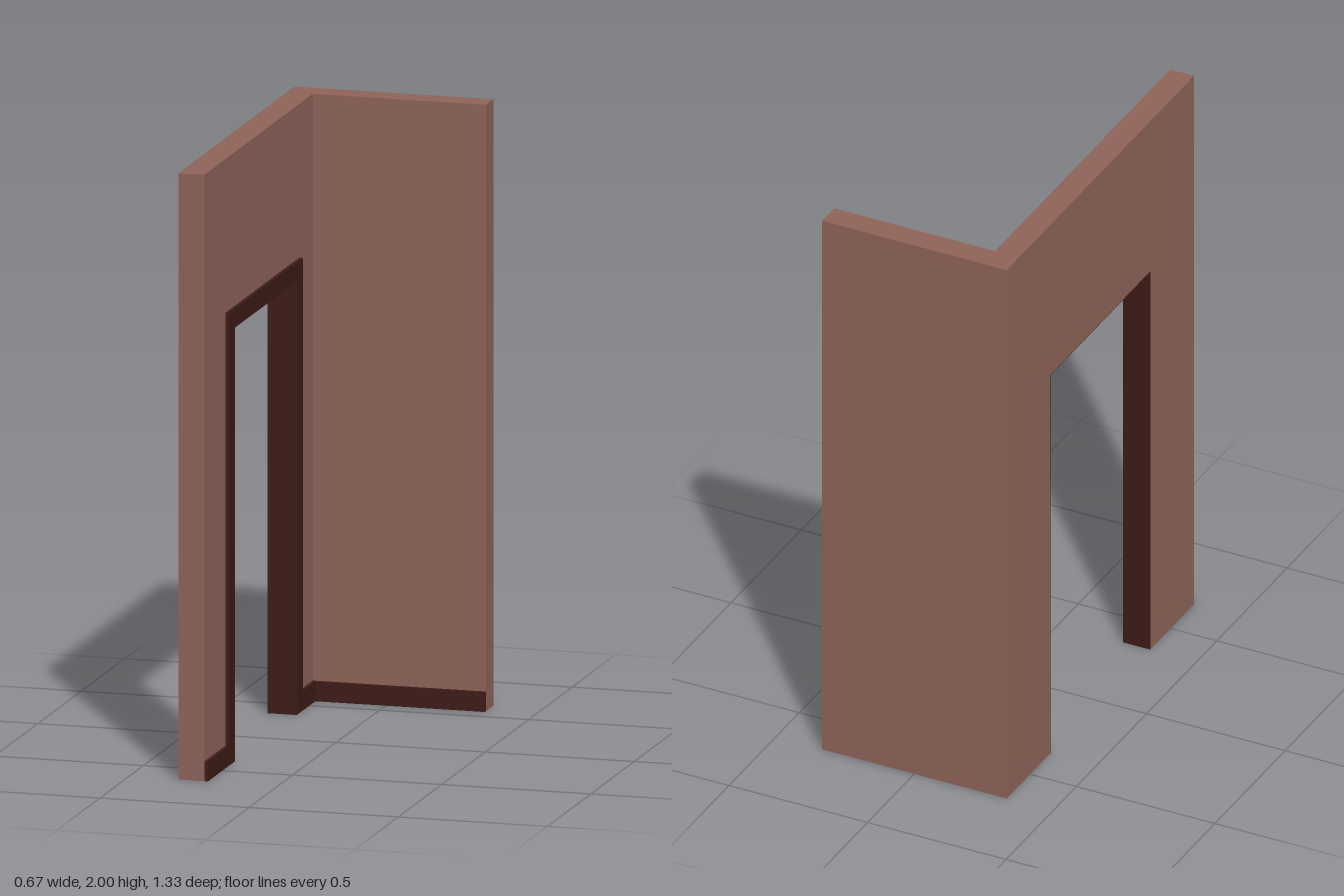
import * as THREE from 'three';

const wallMat = new THREE.MeshStandardMaterial({ color: 0x8d6358 });
const trimMat = new THREE.MeshStandardMaterial({ color: 0x3e1b16 });

const W = 1 / 3, D = 2 / 3, H = 2; // half width, half depth, height
const INNER_X = -0.247, INNER_Z = -0.58; // room-side wall faces
const TRIM = 0.012, SKIRT = 0.065; // trim thickness, skirting height
const DOOR = 0.355, DOOR_TOP = 1.43; // half width and height of the opening
const CASE = 0.425, CASE_TOP = 1.493; // outer edge of the door casing
const LINE = 0.002; // thickness of the jamb lining

// Box given by its minimum and maximum corners
function block(name, material, a, b) {
  const geo = new THREE.BoxGeometry(b[0] - a[0], b[1] - a[1], b[2] - a[2]);
  geo.translate((a[0] + b[0]) / 2, (a[1] + b[1]) / 2, (a[2] + b[2]) / 2);
  const mesh = new THREE.Mesh(geo, material);
  mesh.name = name;
  return mesh;
}

// Outline of [z, y] points extruded along x from x0 to x1
function panel(name, material, points, x0, x1) {
  const shape = new THREE.Shape(points.map(([z, y]) => new THREE.Vector2(z, y)));
  const geo = new THREE.ExtrudeGeometry(shape, { depth: x1 - x0, bevelEnabled: false });
  geo.rotateY(-Math.PI / 2).translate(x1, 0, 0);
  const mesh = new THREE.Mesh(geo, material);
  mesh.name = name;
  return mesh;
}

// Inner edge of a doorway, walked from back to front
const doorway = (half, top) => [[-half, 0], [-half, top], [half, top], [half, 0]];

export function createModel() {
  const model = new THREE.Group();
  model.name = 'cornerWithDoorway';
  const rough = doorway(DOOR + LINE, DOOR_TOP + LINE);

  // Two walls meeting in a corner
  model.add(panel('doorWall', wallMat,
    [[-D, 0], ...rough, [D, 0], [D, H], [-D, H]], -W, INNER_X));
  model.add(block('backWall', wallMat, [INNER_X, 0, -D], [W, H, INNER_Z]));

  // Casing and skirting in one piece on the room side of the door wall
  model.add(panel('doorCasingAndSkirting', trimMat, [
    [INNER_Z, 0], ...rough, [D, 0], [D, SKIRT],
    [CASE, SKIRT], [CASE, CASE_TOP], [-CASE, CASE_TOP], [-CASE, SKIRT], [INNER_Z, SKIRT],
  ], INNER_X, INNER_X + TRIM));

  // Lining through the thickness of the opening
  model.add(panel('jambLining', trimMat,
    [...doorway(DOOR, DOOR_TOP), ...rough.slice().reverse()], -W, INNER_X + TRIM));

  // Skirting along the back wall
  model.add(block('backSkirting', trimMat,
    [INNER_X + TRIM, 0, INNER_Z], [W, SKIRT, INNER_Z + TRIM]));
  return model;
}
